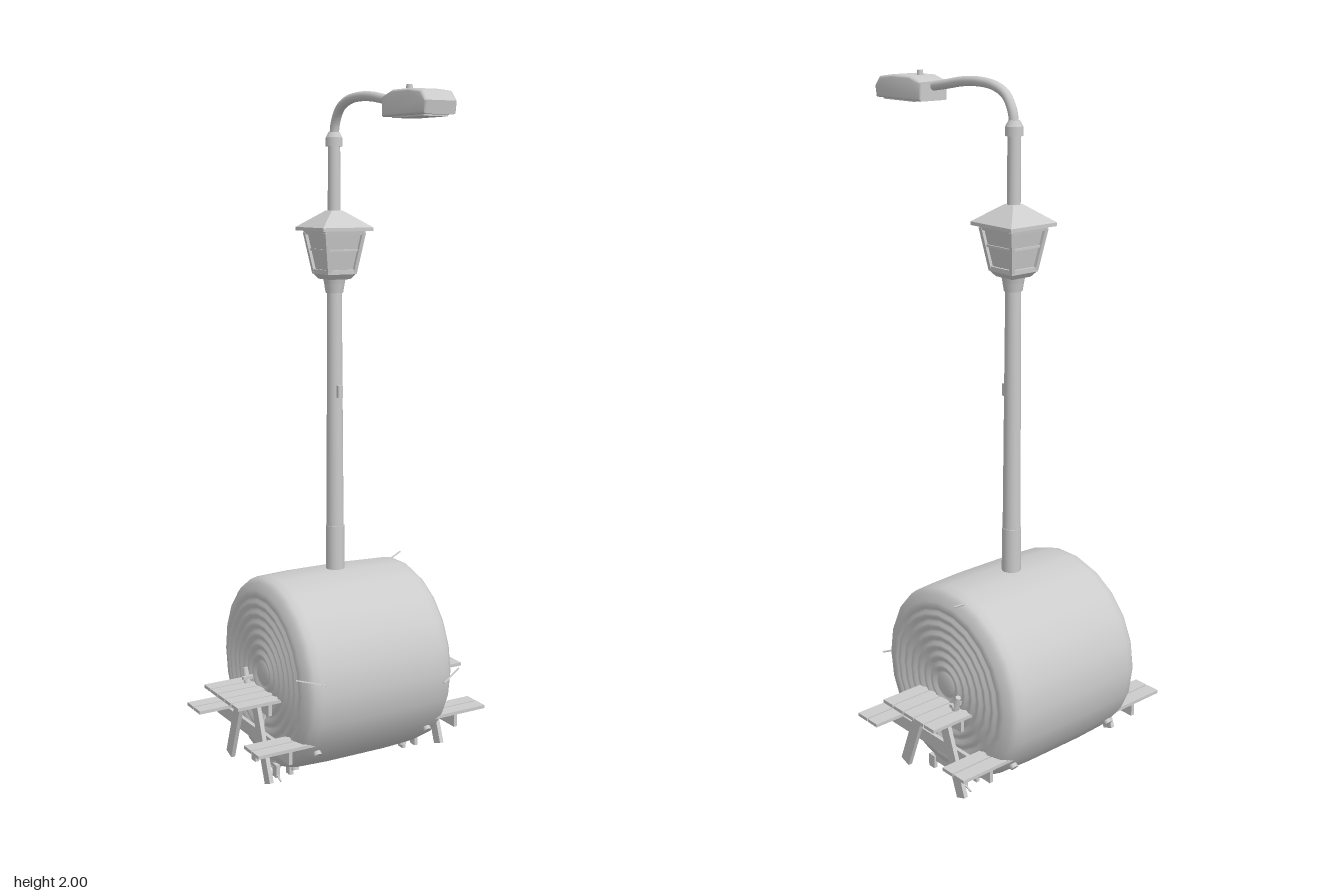
import * as THREE from 'three';
import { toCreasedNormals } from 'three/addons/utils/BufferGeometryUtils.js';

const mat = new THREE.MeshStandardMaterial({ color: 0xcccccc });
const CZ = -0.13; // centre line of bale, table and pole

export function createModel() {
  const root = new THREE.Group();

  function add(parent, name, geo, x = 0, y = 0, z = 0) {
    const m = new THREE.Mesh(geo, mat);
    m.name = name;
    m.position.set(x, y, z);
    parent.add(m);
    return m;
  }
  const group = (name) => {
    const g = new THREE.Group();
    g.name = name;
    root.add(g);
    return g;
  };
  const box = (p, name, w, h, d, x, y, z) => add(p, name, new THREE.BoxGeometry(w, h, d), x, y, z);
  const cyl = (p, name, rt, rb, y0, y1, n = 16) =>
    add(p, name, new THREE.CylinderGeometry(rt, rb, y1 - y0, n), 0, (y0 + y1) / 2, CZ);
  // beam whose length runs from point a to point b
  function beam(p, name, a, b, w, d) {
    const va = new THREE.Vector3(...a), vb = new THREE.Vector3(...b);
    const dir = vb.clone().sub(va);
    const m = box(p, name, w, dir.length(), d, 0, 0, 0);
    m.position.copy(va).add(vb).multiplyScalar(0.5);
    m.quaternion.setFromUnitVectors(new THREE.Vector3(0, 1, 0), dir.normalize());
    return m;
  }

  // Round bale lying on its side, with rolled rings on both ends
  const bale = group('hayBale');
  const half = [[0, 0.255]];
  for (let i = 0; i < 7; i++) {
    const r = 0.03 + i * 0.031;
    half.push([r, 0.255], [r + 0.006, 0.249], [r + 0.014, 0.25], [r + 0.022, 0.255]);
  }
  half.push([0.25, 0.25], [0.272, 0.242], [0.285, 0.228], [0.29, 0.205], [0.294, 0.1]);
  const profile = [
    ...half.map(([r, h]) => [r, -h]),
    ...half.slice().reverse(),
  ].map(([r, h]) => new THREE.Vector2(r, h));
  const baleGeo = new THREE.LatheGeometry(profile, 22);
  baleGeo.rotateZ(-Math.PI / 2);
  add(bale, 'baleRoll', baleGeo, 0, 0.305, CZ);

  // Small pegs around the lower side of the bale
  for (const x of [-0.19, 0.19])
    for (const a of [-0.88, -0.3, 0.3, 0.88]) {
      const peg = add(bale, 'peg', new THREE.CylinderGeometry(0.012, 0.012, 0.03, 8),
        x, 0.305 - Math.cos(a) * 0.285, CZ + Math.sin(a) * 0.285);
      peg.rotation.x = -a;
    }

  // Loose straws
  const straws = [
    [[-0.2, 0.35, 0.165], [-0.28, 0.37, 0.135]],
    [[0.2, 0.285, 0.17], [0.27, 0.31, 0.145]],
    [[0.23, 0.575, -0.19], [0.285, 0.59, -0.21]],
    [[-0.25, 0.2, -0.29], [-0.3, 0.22, -0.26]],
    [[0.25, 0.1, 0.03], [0.28, 0.11, -0.02]],
    [[-0.24, 0.02, -0.1], [-0.25, 0.003, -0.02]],
    [[0.24, 0.02, -0.16], [0.25, 0.003, -0.24]],
  ];
  straws.forEach(([a, b]) => beam(bale, 'straw', a, b, 0.004, 0.004));

  // Picnic table running through the bale
  const table = group('picnicTable');
  for (let i = -2; i <= 2; i++)
    box(table, 'tablePlank', 0.78, 0.01, 0.043, 0, 0.254, CZ + i * 0.047);
  for (const s of [-1, 1])
    for (const d of [0.175, 0.223])
      box(table, 'benchPlank', 0.78, 0.01, 0.043, 0, 0.155, CZ + s * d);
  for (const s of [-1, 1]) {
    const x = s * 0.285;
    box(table, 'tableCrossbar', 0.012, 0.034, 0.23, x, 0.232, CZ);
    box(table, 'benchCrossbar', 0.012, 0.04, 0.48, x, 0.13, CZ);
    box(table, 'footBlock', 0.02, 0.07, 0.13, s * 0.235, 0.06, CZ);
    for (const t of [-1, 1]) {
      beam(table, 'tableLeg', [s * 0.299, 0.245, CZ + t * 0.045], [s * 0.299, 0.015, CZ + t * 0.13], 0.013, 0.036);
      for (const fx of [0.2, 0.245])
        box(table, 'foot', 0.012, 0.04, 0.025, s * fx, 0.022, CZ + t * 0.07);
    }
    beam(table, 'tableBrace', [s * 0.28, 0.12, CZ], [s * 0.2, 0.25, CZ], 0.013, 0.03);
    // Peg leaning out of the bale end
    const peg = add(table, 'sidePeg', new THREE.CylinderGeometry(0.008, 0.012, 0.06, 8), s * 0.27, 0.275, -0.2);
    peg.rotation.x = -0.3;
    box(table, 'pegBar', 0.036, 0.01, 0.012, s * 0.268, 0.275, -0.195);
  }

  // Lamp post
  const post = group('lampPost');
  cyl(post, 'postBase', 0.028, 0.028, 0.55, 0.73);
  cyl(post, 'postShaft', 0.022, 0.026, 0.73, 1.44);
  cyl(post, 'lowerCollar', 0.03, 0.026, 1.43, 1.455);
  cyl(post, 'lanternCollar', 0.034, 0.03, 1.455, 1.475);
  cyl(post, 'upperShaft', 0.018, 0.019, 1.64, 1.86);
  cyl(post, 'upperCollar', 0.025, 0.025, 1.85, 1.875);
  cyl(post, 'upperCollarCap', 0.016, 0.024, 1.875, 1.89);
  box(post, 'servicePlate', 0.014, 0.036, 0.012, 0, 1.14, -0.1);

  // Square lantern around the post
  const lantern = group('lantern');
  function frustum(name, top, bottom, y0, y1) {
    const g = new THREE.CylinderGeometry(top * Math.SQRT2, bottom * Math.SQRT2, y1 - y0, 4);
    g.rotateY(Math.PI / 4);
    add(lantern, name, toCreasedNormals(g, 0.5), 0, (y0 + y1) / 2, CZ);
  }
  frustum('lanternFoot', 0.046, 0.034, 1.47, 1.485);
  frustum('lanternBase', 0.048, 0.048, 1.485, 1.498);
  frustum('lanternPanes', 0.059, 0.04, 1.495, 1.61);
  frustum('lanternTopFrame', 0.067, 0.065, 1.598, 1.612);
  frustum('roofEdge', 0.083, 0.083, 1.61, 1.62);
  frustum('roof', 0.018, 0.083, 1.62, 1.668);
  for (const sx of [-1, 1])
    for (const sz of [-1, 1])
      beam(lantern, 'cornerBar', [sx * 0.043, 1.49, CZ + sz * 0.043], [sx * 0.062, 1.605, CZ + sz * 0.062], 0.011, 0.011);
  for (let i = 0; i < 4; i++) {
    const a = i * Math.PI / 2;
    const bar = box(lantern, 'paneBar', 0.1, 0.006, 0.006, Math.sin(a) * 0.052, 1.555, CZ + Math.cos(a) * 0.052);
    bar.rotation.y = a;
  }

  // Curved arm
  const street = group('streetLight');
  const armPath = new THREE.CatmullRomCurve3([
    [1.87, CZ], [1.915, -0.122], [1.955, -0.095], [1.975, -0.05], [1.982, 0.01], [1.979, 0.08], [1.968, 0.15], [1.957, 0.225],
  ].map(([y, z]) => new THREE.Vector3(0, y, z)));
  add(street, 'arm', new THREE.TubeGeometry(armPath, 32, 0.0135, 12));

  // Lamp head, extruded from its side profile
  const side = new THREE.Shape();
  [[0.215, 1.925], [0.41, 1.925], [0.414, 1.95], [0.395, 1.972], [0.34, 1.979], [0.26, 1.979], [0.215, 1.966]]
    .forEach(([z, y], i) => (i ? side.lineTo(z, y) : side.moveTo(z, y)));
  const headGeo = new THREE.ExtrudeGeometry(side, {
    depth: 0.08, bevelEnabled: true, bevelThickness: 0.01, bevelSize: 0.007, bevelSegments: 3,
  });
  headGeo.translate(0, 0, -0.04);
  headGeo.rotateY(-Math.PI / 2);
  add(street, 'lampHead', toCreasedNormals(headGeo, 0.7));
  box(street, 'lampLens', 0.075, 0.006, 0.15, 0, 1.917, 0.32);
  add(street, 'lightSensor', new THREE.CylinderGeometry(0.008, 0.01, 0.018, 12), 0, 1.991, 0.27);

  return root;
}
